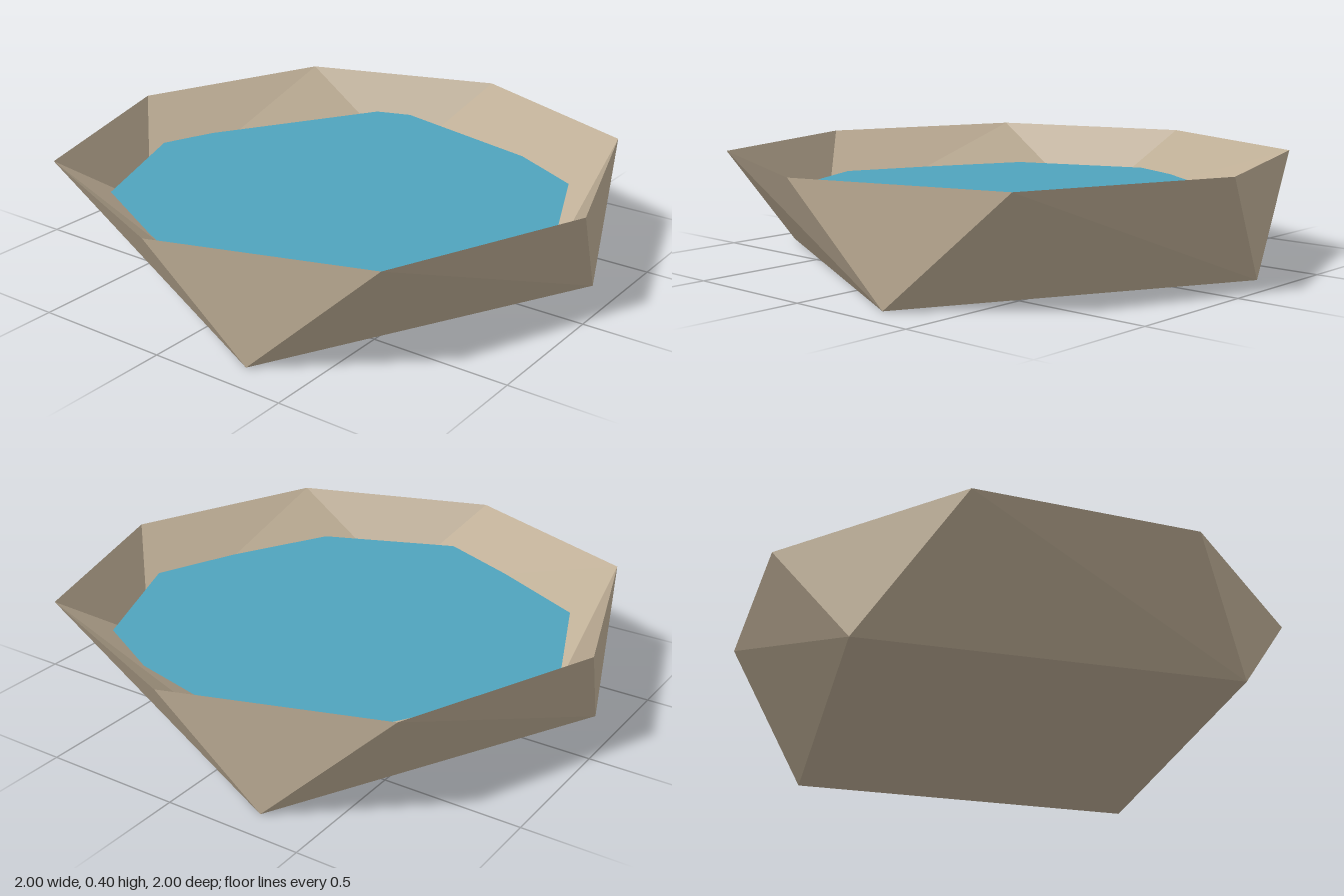
import * as THREE from 'three';

// Rotate a plan point by quarter turns around the y axis
function quarterTurn([x, z], turns) {
  for (let i = 0; i < turns; i++) [x, z] = [z, -x];
  return [x, z];
}

// Faceted bowl: eight rim corners joined to a four-cornered base
function bowlGeometry(baseScale, baseY, inward) {
  const rimY = 0.4;
  const at = (p, y, turns) => {
    const [x, z] = quarterTurn(p, turns);
    return [x, y, z];
  };
  const rimA = (i) => at([-0.035, 1], rimY, i);
  const rimB = (i) => at([0.7, 0.755], rimY, i);
  const base = (i) => at([0.283 * baseScale, 0.893 * baseScale], baseY, i);

  const triangles = [];
  for (let i = 0; i < 4; i++) {
    triangles.push([rimA(i), base(i), rimB(i)]);
    triangles.push([rimB(i), base(i), base(i + 1)]);
    triangles.push([rimB(i), base(i + 1), rimA(i + 1)]);
  }
  triangles.push([base(0), base(2), base(1)], [base(0), base(3), base(2)]);
  if (inward) triangles.forEach((t) => t.reverse());

  const geometry = new THREE.BufferGeometry();
  geometry.setAttribute('position', new THREE.Float32BufferAttribute(triangles.flat(2), 3));
  geometry.computeVertexNormals();
  return geometry;
}

export function createModel() {
  const stone = new THREE.MeshStandardMaterial({ color: 0xbdad95 });
  stone.name = 'stone';
  stone.flatShading = true;
  const waterBlue = new THREE.MeshStandardMaterial({ color: 0x4fa3bd });
  waterBlue.name = 'waterBlue';

  const group = new THREE.Group();
  group.name = 'pond';
  const add = (name, geometry, material) => {
    const mesh = new THREE.Mesh(geometry, material);
    mesh.name = name;
    group.add(mesh);
    return mesh;
  };

  // Stone basin, outside and inside, meeting at a sharp rim
  add('outerBasin', bowlGeometry(1, 0, false), stone);
  add('innerBasin', bowlGeometry(0.84, 0.08, true), stone);

  // Water surface, plan outline as x, z
  const outline = [
    [0.03, 0.855], [0.53, 0.65], [0.73, 0.27], [0.855, -0.04],
    [0.65, -0.53], [0.37, -0.68], [-0.26, -0.83], [-0.39, -0.785],
    [-0.78, -0.16], [-0.855, 0.035], [-0.655, 0.53], [-0.28, 0.72],
  ];
  const shape = new THREE.Shape(outline.map(([x, z]) => new THREE.Vector2(x, -z)));
  const water = add('water', new THREE.ShapeGeometry(shape), waterBlue);
  water.rotation.x = -Math.PI / 2;
  water.position.y = 0.25;

  return group;
}
